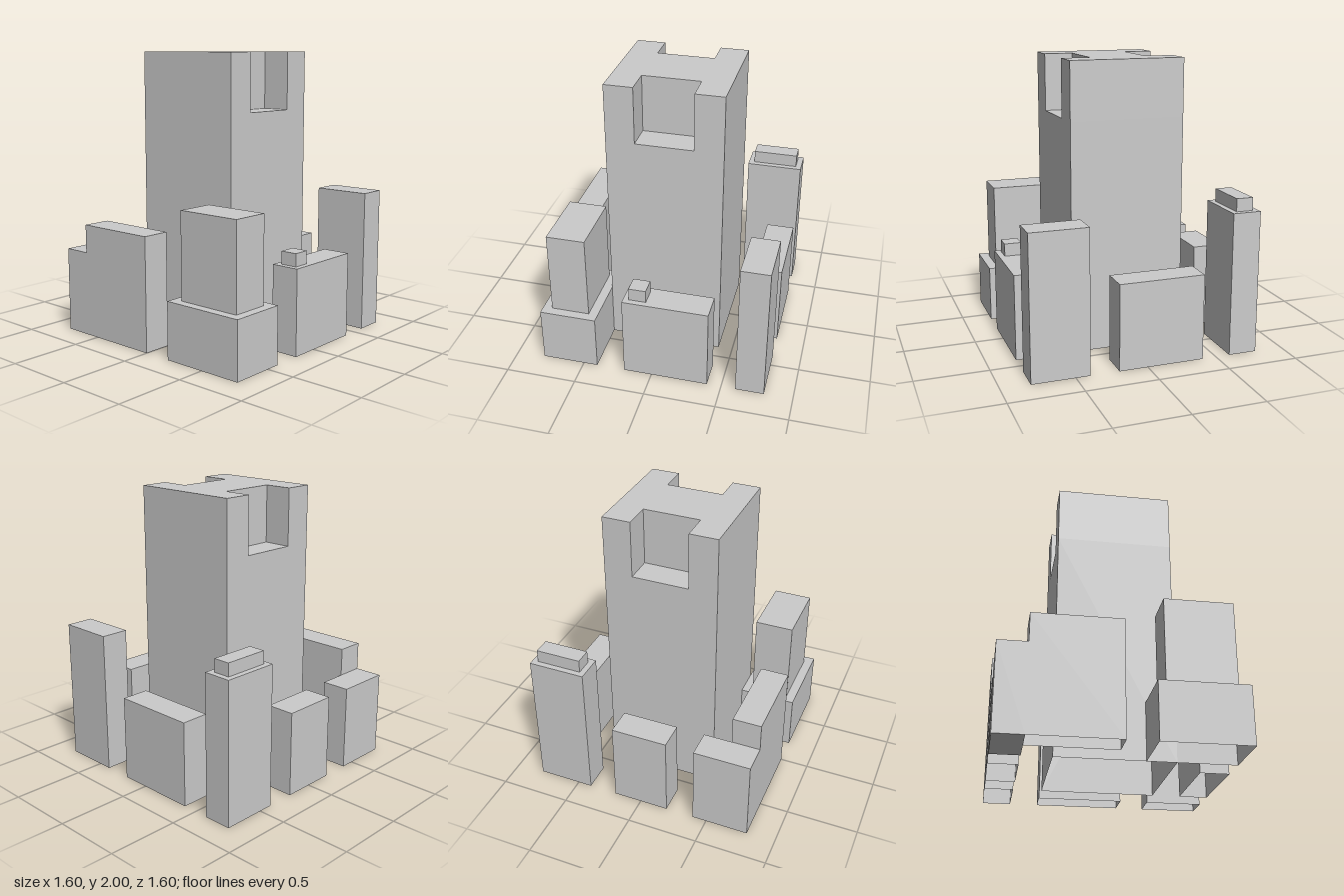
import * as THREE from 'three';

const material = new THREE.MeshStandardMaterial({ color: 0xcccccc, side: THREE.DoubleSide });

// Upright prism over an outline of [x, z] points; top and bottom can be left open
function prism(name, outline, y0, y1, { top = true, bottom = false } = {}) {
  const shape = new THREE.Shape(outline.map(([x, z]) => new THREE.Vector2(x, -z)));
  const solid = new THREE.ExtrudeGeometry(shape, { depth: y1 - y0, bevelEnabled: false });
  solid.rotateX(-Math.PI / 2).translate(0, y0, 0);
  const p = solid.attributes.position, n = solid.attributes.normal;
  const kept = [];
  for (let i = 0; i < p.count; i += 3) {
    const ny = n.getY(i);
    if ((ny > 0.5 && !top) || (ny < -0.5 && !bottom)) continue;
    for (let k = i; k < i + 3; k++) kept.push(p.getX(k), p.getY(k), p.getZ(k));
  }
  const geometry = new THREE.BufferGeometry();
  geometry.setAttribute('position', new THREE.Float32BufferAttribute(kept, 3));
  geometry.computeVertexNormals();
  const mesh = new THREE.Mesh(geometry, material);
  mesh.name = name;
  return mesh;
}

// Rectangular block from its x, z and y ranges
function block(name, [x0, x1], [z0, z1], [y0, y1], options) {
  return prism(name, [[x0, z0], [x0, z1], [x1, z1], [x1, z0]], y0, y1, options);
}

// Tower: square shaft, H-shaped crown, a ledge in the front and back notches
function createTower() {
  const tower = new THREE.Group();
  tower.name = 'tower';
  const w = 0.4, n = 0.2, ledgeY = 1.6;
  tower.add(block('towerShaft', [-w, w], [-w, w], [0, ledgeY], { top: false }));
  const half = [[-w, -w], [-w, w], [-n, w], [-n, n], [n, n], [n, w]];
  const crown = [...half, ...half.map(([x, z]) => [-x, -z])];
  tower.add(prism('towerCrown', crown, ledgeY, 2));
  for (const [side, name] of [[1, 'frontLedge'], [-1, 'backLedge']]) {
    const ledge = new THREE.Mesh(new THREE.PlaneGeometry(2 * n, w - n).rotateX(-Math.PI / 2), material);
    ledge.position.set(0, ledgeY, side * (w + n) / 2);
    ledge.name = name;
    tower.add(ledge);
  }
  return tower;
}

export function createModel() {
  const model = new THREE.Group();
  model.name = 'cityBlock';
  model.add(
    createTower(),
    // Front row
    block('frontBuilding', [-0.2, 0.4], [0.6, 0.8], [0, 0.6]),
    block('frontRooftopBox', [-0.16, -0.04], [0.64, 0.76], [0.6, 0.69]),
    block('frontCornerTower', [0.6, 0.8], [0.4, 0.8], [0, 1]),
    // Stepped building
    block('steppedBase', [-0.8, -0.4], [0.2, 0.8], [0, 0.4]),
    block('steppedUpper', [-0.735, -0.465], [0.265, 0.735], [0.4, 1]),
    // Side building
    block('sideBuilding', [0.6, 0.8], [-0.4, 0.2], [0, 0.6]),
    // Back row
    block('backBuilding', [-0.2, 0.2], [-0.8, -0.6], [0, 0.6]),
    block('backCornerTower', [0.4, 0.8], [-0.8, -0.6], [0, 1]),
    block('backRooftopBox', [0.44, 0.76], [-0.76, -0.64], [1, 1.09]),
    // L-shaped building
    block('cornerLowWing', [-0.8, -0.4], [-0.8, -0.6], [0, 0.6], { bottom: true }),
    block('cornerHighWing', [-0.8, -0.6], [-0.6, 0], [0, 0.8]),
  );
  return model;
}
